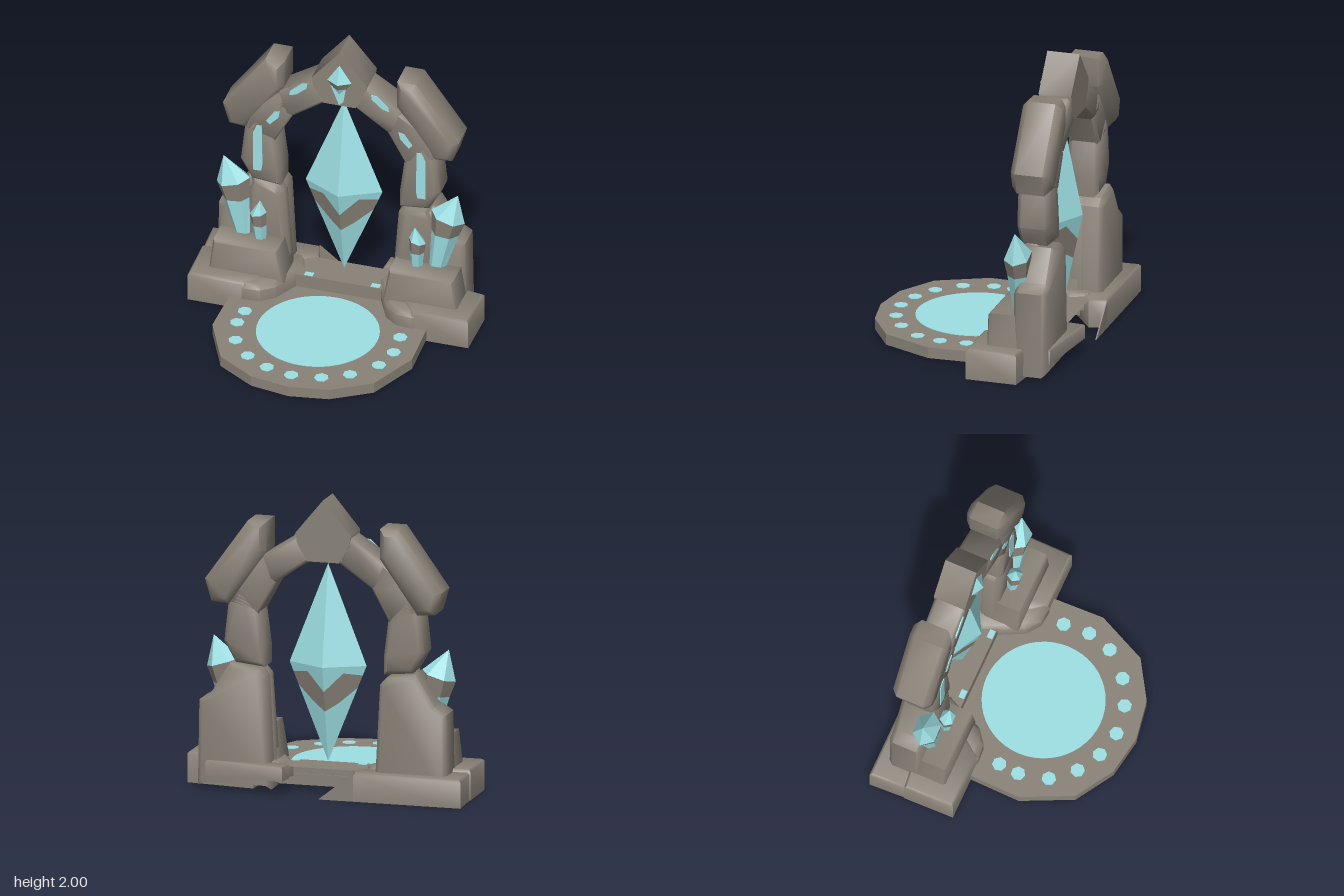
import * as THREE from 'three';
import { toCreasedNormals } from 'three/addons/utils/BufferGeometryUtils.js';

const stone = new THREE.MeshStandardMaterial({ color: 0x898278, side: THREE.DoubleSide });
stone.name = 'stone';
const crystal = new THREE.MeshStandardMaterial({ color: 0x9de0e4, side: THREE.DoubleSide });
crystal.name = 'crystal';

export function createModel() {
  const root = new THREE.Group();
  root.name = 'crystalPortal';

  const add = (name, geo, mat) => {
    const m = new THREE.Mesh(geo, mat);
    m.name = name;
    root.add(m);
    return m;
  };
  const shapeOf = (pts, s = 1) => new THREE.Shape(pts.map(([x, y]) => new THREE.Vector2(x * s, y)));
  const extrude = (shape, depth, bevel) => new THREE.ExtrudeGeometry(shape, {
    depth: depth - 2 * bevel, bevelEnabled: bevel > 0, bevelThickness: bevel,
    bevelSize: bevel, bevelOffset: -bevel, bevelSegments: 1,
  });

  // Leaves stones hollow underneath: drops faces near the ground that look down
  const openBelow = (geo) => {
    const p = geo.getAttribute('position');
    const kept = [];
    const t = new THREE.Triangle(), n = new THREE.Vector3(), c = new THREE.Vector3();
    for (let i = 0; i < p.count; i += 3) {
      t.setFromAttributeAndIndices(p, i, i + 1, i + 2);
      t.getNormal(n);
      t.getMidpoint(c);
      if (n.y > -0.5 || c.y > 0.19) [t.a, t.b, t.c].forEach((v) => kept.push(v.x, v.y, v.z));
    }
    const out = new THREE.BufferGeometry();
    out.setAttribute('position', new THREE.Float32BufferAttribute(kept, 3));
    return toCreasedNormals(out, 0.85);
  };

  // Stone cut from a front outline, between two z values
  const rock = (name, pts, z0, z1, bevel = 0.04, s = 1) =>
    add(name, openBelow(extrude(shapeOf(pts, s), z1 - z0, bevel).translate(0, 0, z0 + bevel)), stone);

  // Stone cut from a plan outline of [x, z], between two heights
  const slab = (name, pts, y0, y1, bevel = 0.02, s = 1) =>
    add(name, openBelow(extrude(shapeOf(pts.map(([x, z]) => [x, -z]), s), y1 - y0 + bevel, bevel)
      .rotateX(-Math.PI / 2).translate(0, y0, 0)), stone);

  // Flat single surface with a plan outline of [x, z]
  const sheet = (name, pts, y) =>
    add(name, new THREE.ShapeGeometry(shapeOf(pts.map(([x, z]) => [x, -z])))
      .rotateX(-Math.PI / 2).translate(0, y, 0), stone);

  // Thin inlay on the front of the arch
  const inlay = (name, pts, s) =>
    add(name, extrude(shapeOf(pts, s), 0.008, 0).translate(0, 0, -0.412), crystal);

  // Skin over rings listed bottom to top, one material per band
  const loft = (name, rings, mats) => {
    const g = new THREE.Group();
    g.name = name;
    mats.forEach((mat, k) => {
      const pos = [];
      const tri = (a, b, c) => {
        const area = b.clone().sub(a).cross(c.clone().sub(a)).length();
        if (area > 1e-8) [a, b, c].forEach((p) => pos.push(p.x, p.y, p.z));
      };
      const lo = rings[k], hi = rings[k + 1], n = lo.length;
      for (let i = 0; i < n; i++) {
        const j = (i + 1) % n;
        tri(lo[i], hi[i], lo[j]);
        tri(lo[j], hi[i], hi[j]);
      }
      const geo = new THREE.BufferGeometry();
      geo.setAttribute('position', new THREE.Float32BufferAttribute(pos, 3));
      geo.computeVertexNormals();
      const m = new THREE.Mesh(geo, mat);
      m.name = name + (mat === stone ? 'Band' : 'Facets');
      g.add(m);
    });
    root.add(g);
  };
  // Sections are [x, y, z, radiusX, radiusZ, tilt]
  const shard = (name, sections, n, mats) => loft(name, sections.map(([x, y, z, rx, rz, tilt = 0]) =>
    Array.from({ length: n }, (_, i) => {
      const a = (i / n) * Math.PI * 2;
      return new THREE.Vector3(x + Math.cos(a) * rx, y + Math.cos(a) * tilt, z + Math.sin(a) * rz);
    })), mats);

  // Platform: open shell with a faceted rim
  const half = [[0.27, 0.7], [0.53, 0.54], [0.69, 0.2], [0.68, -0.15], [0.66, -0.4]];
  const rim = [[0, 0.745], ...half, ...half.slice().reverse().map(([x, z]) => [-x, z])];
  sheet('platformTop', rim, 0.085);
  const wall = [0.01, 0.085].map((y) => rim.slice().reverse().map(([x, z]) => new THREE.Vector3(x, y, z)));
  loft('platformRim', wall, [stone]);
  add('platformDisc', new THREE.CylinderGeometry(0.41, 0.41, 0.008, 48).translate(0, 0.085, 0.075), crystal);
  const dots = [[-0.53, -0.01], [-0.54, 0.13], [-0.49, 0.33], [-0.36, 0.48], [-0.2, 0.57], [-0.02, 0.61],
    [0.18, 0.58], [0.35, 0.49], [0.5, 0.33], [0.55, 0.16], [0.54, -0.02]];
  dots.forEach(([x, z], i) => add('platformRune', new THREE.CylinderGeometry(0.049, 0.049, 0.008, 7)
    .rotateY(i).translate(x, 0.085, z), crystal));

  // Rear step, open at the back, with its two runes
  sheet('rearStepTop', [[-0.36, -0.62], [0.36, -0.62], [0.36, -0.39], [-0.36, -0.39]], 0.18);
  add('rearStepFront', new THREE.PlaneGeometry(0.72, 0.095).translate(0, 0.1325, -0.39), stone);
  [-0.21, 0.25].forEach((x) => add('stepRune', new THREE.BoxGeometry(0.06, 0.008, 0.04).translate(x, 0.18, -0.415), crystal));

  for (const s of [1, -1]) {
    // Foundation rocks
    slab('baseRock', [[0.58, -0.15], [0.97, -0.15], [0.975, -0.5], [0.5, -0.56], [0.5, -0.25]], 0, 0.21, 0.015, s);
    slab('innerBaseRock', [[0.25, -0.48], [0.31, -0.36], [0.38, -0.22], [0.47, -0.15], [0.58, -0.14], [0.63, -0.17], [0.62, -0.6], [0.3, -0.62]], 0.085, 0.2, 0.03, s);
    rock('pedestal', [[0.34, 0.17], [0.86, 0.17], [0.83, 0.43], [0.385, 0.43]], -0.52, -0.26, 0.015, s);

    // Lower pillar and the boulder leaning behind it
    rock('lowerPillar', [[0.35, 0.17], [0.67, 0.17], [0.65, 0.78], [0.61, 0.88], [0.44, 0.83], [0.395, 0.78]], -0.57, -0.42, 0.04, s);
    rock('backBoulder', [[0.355, 0.02], [0.86, 0.02], [0.85, 0.6], [0.77, 0.65], [0.64, 0.86], [0.44, 0.83], [0.395, 0.78]], -0.67, -0.44, 0.03, s);

    // Arch stones
    rock('upperPillar', [[0.41, 0.84], [0.61, 0.86], [0.69, 1.0], [0.66, 1.27], [0.58, 1.38], [0.445, 1.24], [0.41, 0.97]], -0.63, -0.41, 0.03, s);
    rock('archHaunch', [[0.45, 1.2], [0.65, 1.26], [0.62, 1.45], [0.4, 1.6], [0.33, 1.42]], -0.63, -0.41, 0.02, s);
    rock('archStone', [[0.1, 1.58], [0.33, 1.42], [0.45, 1.45], [0.42, 1.6], [0.17, 1.76]], -0.63, -0.41, 0.02, s);
    rock('shoulderBoulder', [[0.39, 1.83], [0.39, 1.63], [0.65, 1.26], [0.77, 1.27], [0.815, 1.42], [0.52, 1.83]], -0.67, -0.4, 0.04, s);

    // Glowing inlays
    inlay('pillarInlay', [[0.535, 1.31], [0.57, 1.31], [0.595, 1.25], [0.595, 0.95], [0.54, 0.95], [0.53, 1.0]], s);
    inlay('haunchInlay', [[0.41, 1.45], [0.45, 1.44], [0.505, 1.36], [0.48, 1.335], [0.42, 1.4]], s);
    inlay('archInlay', [[0.22, 1.71], [0.26, 1.705], [0.34, 1.63], [0.345, 1.6], [0.3, 1.61], [0.225, 1.675]], s);

    // Crystal clusters with stone-coloured bands
    shard('largeCrystal', [[0.67 * s, 0.42, -0.43, 0.06, 0.04], [0.72 * s, 0.69, -0.44, 0.095, 0.075, -0.01 * s],
      [0.742 * s, 0.82, -0.44, 0.115, 0.092, -0.035 * s], [0.81 * s, 1.0, -0.44, 0, 0]], 6, [crystal, stone, crystal]);
    shard('smallCrystal', [[0.54 * s, 0.42, -0.39, 0.04, 0.035], [0.545 * s, 0.54, -0.38, 0.05, 0.045],
      [0.55 * s, 0.63, -0.375, 0.058, 0.053, -0.015 * s], [0.535 * s, 0.74, -0.365, 0, 0]], 6, [crystal, stone, crystal]);
  }

  // Uneven slabs at the back, one ending in a thin wedge
  slab('backSlabRight', [[-0.98, -0.75], [-0.24, -0.75], [-0.21, -0.63], [-0.4, -0.49], [-0.97, -0.49]], 0, 0.19, 0.015);
  rock('backWedge', [[-0.24, 0.19], [-0.24, 0], [0, 0]], -0.75, -0.742, 0);
  slab('backSlabLeft', [[0.25, -0.75], [0.8, -0.68], [0.8, -0.58], [0.24, -0.62]], 0.1, 0.2, 0.01);

  // Keystone, the gem standing out of it and the inlay below
  rock('keystone', [[0, 2], [-0.19, 1.77], [-0.18, 1.7], [-0.11, 1.58], [0.11, 1.58], [0.18, 1.7], [0.19, 1.77]], -0.635, -0.41, 0);
  shard('keystoneGem', [[0, 1.66, -0.41, 0, 0], [0, 1.72, -0.41, 0.05, 0.027], [0, 1.77, -0.41, 0.085, 0.05],
    [0, 1.9, -0.41, 0, 0]], 4, [crystal, stone, crystal]);
  inlay('keystoneInlay', [[-0.06, 1.735], [0, 1.7], [0.045, 1.715], [0.03, 1.62], [0, 1.585]], 1);

  // Floating crystal: bipyramid with a V-shaped band on the lower half
  const corner = (i) => {
    const a = (i / 4) * Math.PI * 2;
    return new THREE.Vector3(Math.cos(a) * 0.265, 0.87, -0.515 + Math.sin(a) * 0.14);
  };
  const equator = Array.from({ length: 8 }, (_, i) =>
    corner(Math.floor(i / 2)).lerp(corner(Math.ceil(i / 2)), 0.5));
  const toward = (y, ts) => equator.map((p, i) =>
    p.clone().lerp(new THREE.Vector3(0, y, -0.515), ts[i % 4]));
  loft('floatingCrystal', [
    toward(0.21, [1, 1, 1, 1]),
    toward(0.21, [0.23, 0.39, 0.47, 0.39]),
    toward(0.21, [0.1, 0.07, 0.26, 0.07]),
    equator,
    toward(1.55, [1, 1, 1, 1]),
  ], [crystal, stone, crystal, crystal]);

  return root;
}
